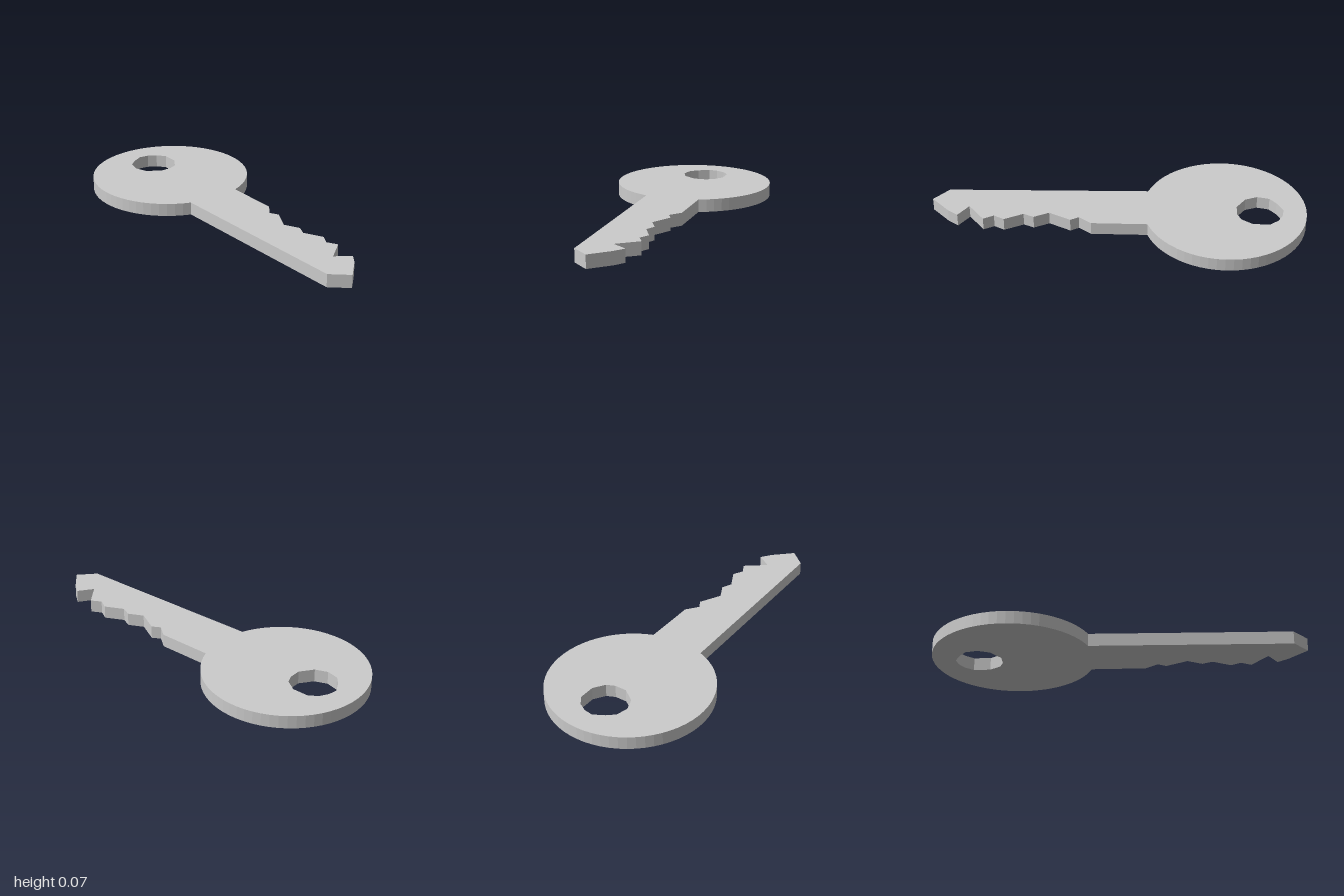
import * as THREE from 'three';

const THICKNESS = 0.07;

// Points are [x, z] in plan; the shape is drawn with y = -z, then laid flat.
const toShape = ([x, z]) => new THREE.Vector2(x, -z);

// Blade outline: straight edge, pointed tip, then the cut teeth back to the head
const blade = [
  [0.92, 0.13], [1, 0.04], [0.905, -0.06], [0.85, -0.1], [0.795, -0.02],
  [0.71, -0.13], [0.655, -0.1], [0.6, -0.13], [0.5, -0.08], [0.445, -0.105],
  [0.365, -0.065], [0.25, -0.125], [0.205, -0.1], [0.14, -0.15],
];

// Slightly irregular hole for the key ring
const ringHole = [
  [-0.8, -0.13], [-0.71, -0.13], [-0.65, -0.09], [-0.63, -0.045],
  [-0.63, 0.02], [-0.68, 0.09], [-0.745, 0.115], [-0.81, 0.1],
  [-0.845, 0.06], [-0.878, 0], [-0.87, -0.05], [-0.845, -0.095],
];

export function createModel() {
  const group = new THREE.Group();
  group.name = 'key';

  // Round head, open where the blade joins it
  const radius = 0.435;
  const joint = Math.asin(0.15 / radius);
  const outline = new THREE.Shape();
  outline.absarc(-0.565, 0, radius, joint, Math.PI * 2 - joint, false);
  blade.map(toShape).forEach((p) => outline.lineTo(p.x, p.y));
  outline.closePath();
  outline.holes.push(new THREE.Path(ringHole.map(toShape)));

  const geometry = new THREE.ExtrudeGeometry(outline, {
    depth: THICKNESS, bevelEnabled: false, curveSegments: 28,
  });
  geometry.rotateX(-Math.PI / 2);

  const material = new THREE.MeshStandardMaterial({ color: 0xcccccc, flatShading: true });
  const body = new THREE.Mesh(geometry, material);
  body.name = 'keyBody';
  group.add(body);
  return group;
}
